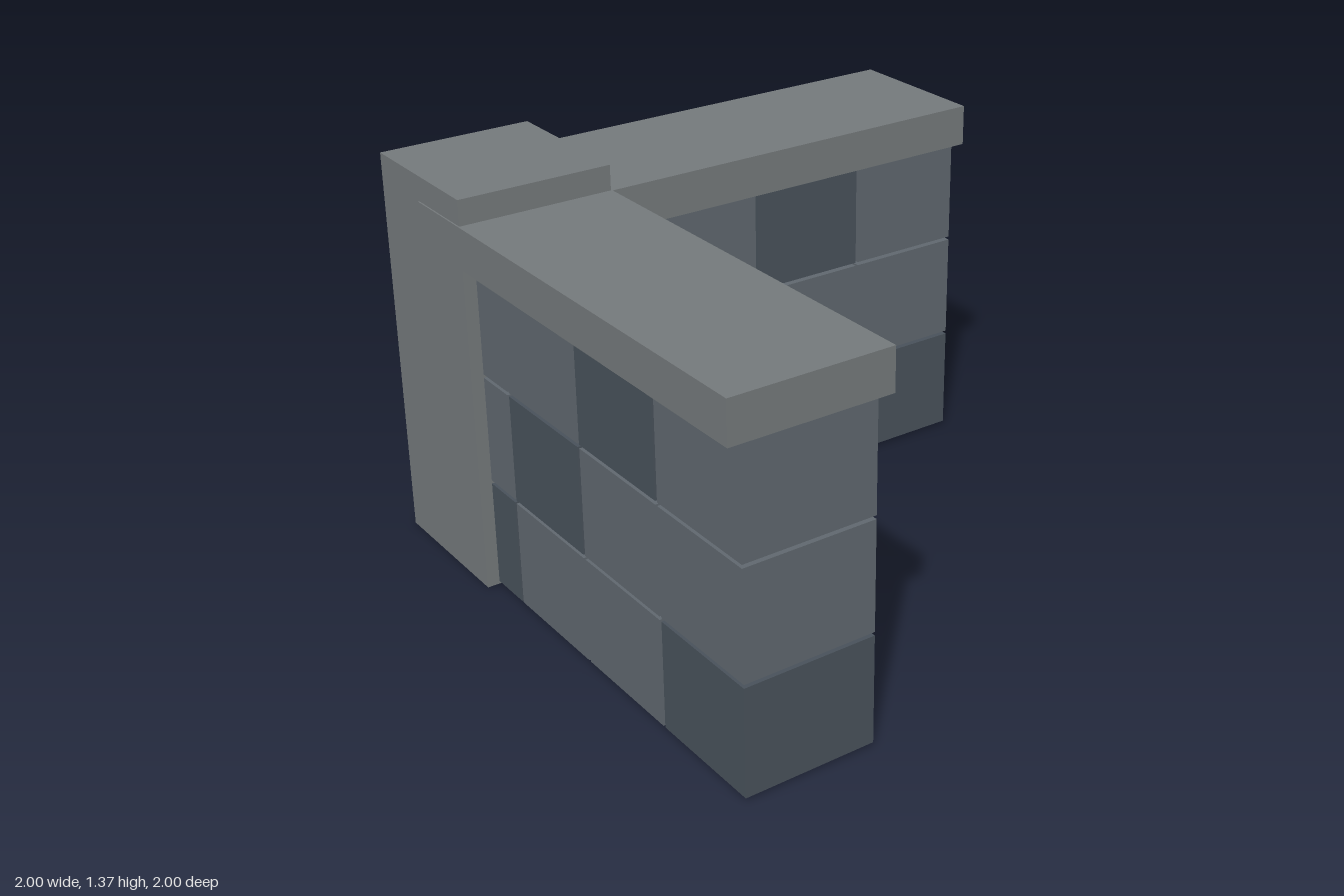
import * as THREE from 'three';

const stone = new THREE.MeshStandardMaterial({ color: 0x5f676e });
const darkStone = new THREE.MeshStandardMaterial({ color: 0x48515a });
const trim = new THREE.MeshStandardMaterial({ color: 0x74797b });

// Box given by its minimum and maximum corners
function box(name, material, min, max) {
  const size = max.map((v, i) => v - min[i]);
  const mesh = new THREE.Mesh(new THREE.BoxGeometry(...size), material);
  mesh.position.set(...min.map((v, i) => (v + max[i]) / 2));
  mesh.name = name;
  return mesh;
}

// One wing of the wall; along 'x' or 'z', the two being mirror images
function wing(axis) {
  const group = new THREE.Group();
  group.name = axis === 'x' ? 'backWing' : 'sideWing';
  const place = ([along, y, across]) => (axis === 'x' ? [along, y, across] : [across, y, along]);
  const add = (name, material, min, max) => group.add(box(name, material, place(min), place(max)));

  // Separate blocks with open joints, dark ones on the diagonals
  const pitch = 0.43, rowPitch = 0.38;
  for (let row = 0; row < 3; row++) {
    for (let col = 0; col < 4; col++) {
      const start = -0.724 + col * pitch;
      const bottom = 0.01 + row * rowPitch;
      const dark = (col - row) % 3 === 0;
      add('block', dark ? darkStone : stone,
        [start, bottom, -0.952], [start + 0.42, bottom + 0.368, -0.501]);
    }
  }

  // Overhanging coping slab
  add('coping', trim, [-0.728, 1.138, -1], [1, 1.28, -0.455]);
  return group;
}

export function createModel() {
  const model = new THREE.Group();
  model.name = 'cornerWall';
  model.add(wing('x'), wing('z'));

  // Corner post
  model.add(box('cornerPost', trim, [-0.995, 0, -0.995], [-0.459, 1.366, -0.459]));
  return model;
}
